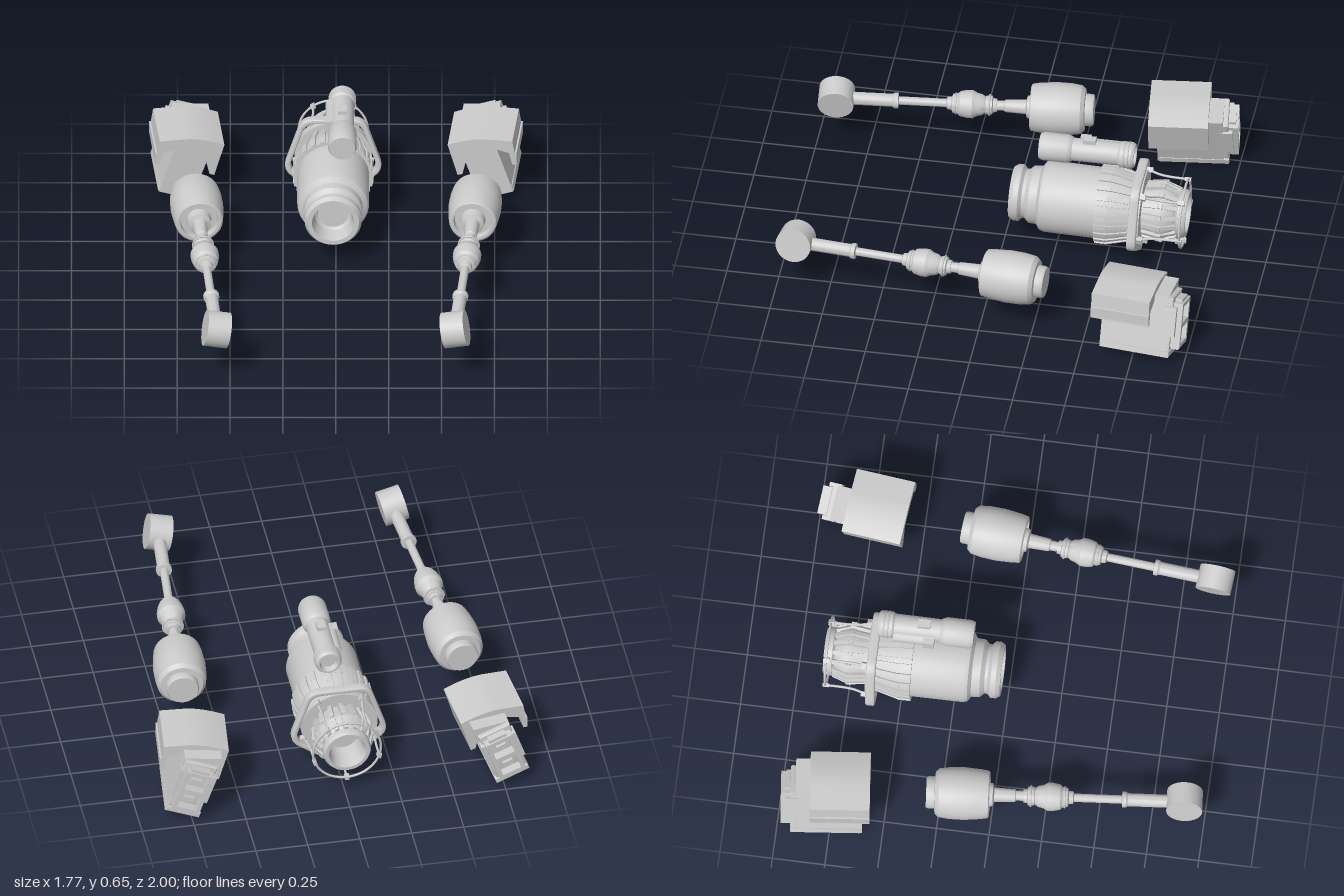
import * as THREE from 'three';
import { toCreasedNormals } from 'three/addons/utils/BufferGeometryUtils.js';

const mat = new THREE.MeshStandardMaterial({ color: 0xcccccc, side: THREE.DoubleSide });

function add(parent, name, geo, x = 0, y = 0, z = 0) {
  const m = new THREE.Mesh(geo, mat);
  m.name = name;
  m.position.set(x, y, z);
  parent.add(m);
  return m;
}

function group(parent, name, x = 0, y = 0, z = 0) {
  const g = new THREE.Group();
  g.name = name;
  g.position.set(x, y, z);
  parent.add(g);
  return g;
}

// Turned part along z; profile points are [radius, z], z rising on the outside
function turned(profile, sides = 40) {
  const g = new THREE.LatheGeometry(profile.map(([r, z]) => new THREE.Vector2(r, z)), sides);
  return toCreasedNormals(g.rotateX(Math.PI / 2), 0.5);
}

// Outline in x/y pushed from z0 to z1
function slab(shape, z0, z1, bevel = 0) {
  const g = new THREE.ExtrudeGeometry(shape, {
    depth: z1 - z0 - 2 * bevel, bevelEnabled: bevel > 0, bevelThickness: bevel,
    bevelSize: bevel, bevelOffset: -bevel, bevelSegments: 3, curveSegments: 8,
  });
  return toCreasedNormals(g.translate(0, 0, z0 + bevel), 0.5);
}

const polygon = (pts) => new THREE.Shape(pts.map(([x, y]) => new THREE.Vector2(x, y)));

function rect(x, y, w, h) {
  return [[x - w / 2, y - h / 2], [x + w / 2, y - h / 2], [x + w / 2, y + h / 2], [x - w / 2, y + h / 2]];
}

// Pentagon with one corner down and rounded corners
function pentagon(radius, round) {
  const c = [...Array(5)].map((_, i) => {
    const a = -Math.PI / 2 + i * Math.PI * 0.4;
    return new THREE.Vector2(Math.cos(a) * radius, Math.sin(a) * radius);
  });
  const s = new THREE.Shape();
  c.forEach((p, i) => {
    const toward = (q) => p.clone().add(q.clone().sub(p).setLength(round));
    const a = toward(c[(i + 4) % 5]), b = toward(c[(i + 1) % 5]);
    if (i === 0) s.moveTo(a.x, a.y); else s.lineTo(a.x, a.y);
    s.quadraticCurveTo(p.x, p.y, b.x, b.y);
  });
  s.closePath();
  return s;
}

// Repeat boxes around the z axis, each leaning along the cone r0 (z0) to r1 (z1)
function ribs(parent, name, count, r0, z0, r1, z1, width, height) {
  const len = Math.hypot(z1 - z0, r1 - r0);
  for (let i = 0; i < count; i++) {
    const spoke = group(parent, name);
    spoke.rotation.z = -Math.PI / 2 + (i / count) * Math.PI * 2;
    const b = add(spoke, name, new THREE.BoxGeometry(height, width, len), (r0 + r1) / 2, 0, (z0 + z1) / 2);
    b.rotation.y = Math.atan2(r1 - r0, z1 - z0);
  }
}

function makePod(root) {
  const pod = group(root, 'centralPod', -0.013, 0.257, 0);
  pod.rotation.x = 0.026 * -1;
  add(pod, 'podBody', turned([
    [0, -0.5], [0.17, -0.5], [0.17, -0.2], [0.163, -0.18], [0.14, -0.165], [0.137, -0.125], [0.118, -0.105],
    [0.118, -0.09], [0.135, -0.075], [0.135, -0.05], [0.122, -0.03], [0.1, -0.03], [0.092, -0.06],
    [0.085, -0.1], [0.072, -0.11], [0, -0.11],
  ], 48));
  // ribbed skirt
  add(pod, 'skirt', turned([[0.13, -0.63], [0.15, -0.63], [0.172, -0.56], [0.186, -0.5], [0.186, -0.45], [0.168, -0.45]], 48));
  ribs(pod, 'skirtRib', 24, 0.187, -0.45, 0.187, -0.51, 0.024, 0.012);
  ribs(pod, 'skirtRib', 24, 0.187, -0.5, 0.153, -0.63, 0.02, 0.014);
  // pentagonal flange with gaps at its corners
  const frame = pentagon(0.252, 0.055);
  frame.holes.push(pentagon(0.222, 0.05));
  add(pod, 'flange', slab(frame, -0.66, -0.615, 0.009));
  add(pod, 'flangeDisc', turned([[0.08, -0.665], [0.183, -0.665], [0.183, -0.62], [0.1, -0.62]], 48));
  // hollow tail
  add(pod, 'tail', turned([
    [0, -0.74], [0.075, -0.74], [0.08, -0.84], [0.09, -0.875], [0.107, -0.875], [0.115, -0.86], [0.115, -0.835],
    [0.1, -0.825], [0.115, -0.81], [0.135, -0.765], [0.135, -0.74], [0.118, -0.7], [0.115, -0.66],
  ]));
  ribs(pod, 'tailRib', 16, 0.142, -0.74, 0.112, -0.83, 0.02, 0.016);
  ribs(pod, 'tailRib', 16, 0.142, -0.765, 0.128, -0.67, 0.02, 0.016);
  // wire guard
  add(pod, 'guardRing', new THREE.TorusGeometry(0.163, 0.006, 8, 50), 0, 0, -0.858);
  const path = new THREE.CatmullRomCurve3([[0.163, -0.858], [0.163, -0.78], [0.168, -0.72], [0.188, -0.65]]
    .map(([r, z]) => new THREE.Vector3(r, 0, z)));
  for (let i = 0; i < 5; i++) {
    const arm = group(pod, 'guardArm');
    arm.rotation.z = -Math.PI / 2 + i * Math.PI * 0.4;
    add(arm, 'guardWire', new THREE.TubeGeometry(path, 12, 0.006, 8));
    add(arm, 'guardClip', new THREE.BoxGeometry(0.018, 0.022, 0.03), 0.163, 0, -0.855);
    add(arm, 'guardFoot', new THREE.BoxGeometry(0.024, 0.03, 0.03), 0.185, 0, -0.67);
  }
}

function makeCanister(root) {
  const can = group(root, 'upperCanister', 0.03, 0.583, 0);
  add(can, 'canisterBody', turned([
    [0, -0.6], [0.038, -0.6], [0.045, -0.628], [0.055, -0.628], [0.063, -0.615], [0.063, -0.56], [0.055, -0.55],
    [0.055, -0.33], [0.06, -0.325], [0.068, -0.305], [0.068, -0.19], [0.061, -0.172], [0, -0.172],
  ], 32));
  for (const z of [-0.58, -0.6]) add(can, 'canisterBand', new THREE.TorusGeometry(0.062, 0.004, 6, 32), 0, 0, z);
  add(can, 'topKey', new THREE.BoxGeometry(0.04, 0.03, 0.06), 0, 0.058, -0.41);
  const lever = add(can, 'sideLever', new THREE.CylinderGeometry(0.032, 0.032, 0.19, 16), -0.048, 0, -0.455);
  lever.rotation.x = Math.PI / 2;
  add(can, 'leverFoot', new THREE.BoxGeometry(0.035, 0.06, 0.05), -0.068, 0, -0.38);
}

function makeArm(side) {
  // rod, joint and drum share one slightly toed-in axis
  const arm = group(side, 'armAssembly', 0.645, 0.274, 0);
  arm.rotation.y = -0.09;
  add(arm, 'drum', turned([
    [0, -0.31], [0.072, -0.31], [0.077, -0.3], [0.077, -0.27], [0.1, -0.268], [0.116, -0.25], [0.123, -0.2],
    [0.125, -0.13], [0.118, -0.05], [0.112, -0.015], [0.103, -0.01], [0.09, -0.01], [0.086, -0.035], [0, -0.035],
  ], 40));
  add(arm, 'drumNeck', turned([
    [0, -0.04], [0.06, -0.04], [0.055, 0.005], [0.035, 0.012], [0.03, 0.11], [0.024, 0.115], [0.024, 0.16],
  ], 24));
  add(arm, 'joint', turned([
    [0.02, 0.15], [0.032, 0.15], [0.034, 0.168], [0.045, 0.172], [0.045, 0.2], [0.04, 0.205], [0.05, 0.22],
    [0.056, 0.245], [0.067, 0.265], [0.067, 0.29], [0.06, 0.325], [0.05, 0.335], [0.045, 0.36],
    [0.032, 0.365], [0.03, 0.385], [0.02, 0.39],
  ], 32));
  for (const z of [0.185, 0.235, 0.345]) add(arm, 'jointBand', new THREE.TorusGeometry(0.048, 0.005, 6, 32), 0, 0, z);
  add(arm, 'rod', turned([
    [0.02, 0.37], [0.02, 0.615], [0.038, 0.618], [0.038, 0.635], [0.031, 0.645], [0.031, 0.87],
  ], 20));
  const pad = add(arm, 'endPad', toCreasedNormals(new THREE.CylinderGeometry(0.085, 0.085, 0.112, 32), 0.5), 0, 0.004, 0.912);
  pad.rotation.z = -Math.PI / 2 + 0.2;
}

function makeBlock(side) {
  const block = group(side, 'rearBlock', 0.705, 0, -0.715);
  block.rotation.y = -0.11;
  add(block, 'housing', slab(polygon([[-0.01, 0.005], [0.145, 0.058], [0.05, 0.345], [-0.125, 0.33]]), -0.21, 0.105));
  add(block, 'basePlate', slab(polygon([[-0.014, 0.004], [0.148, 0.06], [0.139, 0.088], [-0.023, 0.032]]), -0.235, 0.1, 0.006));
  // curved hood: inner wall, arched top and flared outer flap
  const hood = new THREE.Shape();
  hood.moveTo(-0.115, 0.158);
  hood.lineTo(-0.163, 0.325);
  hood.quadraticCurveTo(-0.05, 0.372, 0.03, 0.37);
  hood.lineTo(0.145, 0.366);
  hood.lineTo(0.165, 0.238);
  hood.lineTo(0.145, 0.236);
  hood.lineTo(0.13, 0.3);
  hood.lineTo(0.062, 0.318);
  hood.lineTo(-0.06, 0.31);
  hood.lineTo(-0.092, 0.165);
  add(block, 'hood', slab(hood, -0.142, 0.142));
  add(block, 'flapRail', new THREE.BoxGeometry(0.014, 0.06, 0.284), 0.157, 0.266, 0);
  // rear connector with two open sockets, leaning with the housing
  const plug = group(block, 'rearConnector', 0.018, 0.187, 0);
  plug.rotation.z = 0.33;
  add(plug, 'collar', slab(polygon(rect(0, 0.005, 0.16, 0.27)), -0.235, -0.2, 0.008));
  const face = polygon(rect(0, 0, 0.135, 0.225));
  for (const y of [-0.053, 0.053]) {
    face.holes.push(polygon(rect(0, y, 0.095, 0.08)));
    add(plug, 'socketPin', new THREE.BoxGeometry(0.05, 0.025, 0.03), 0, y, -0.248);
  }
  add(plug, 'socketFrame', slab(face, -0.28, -0.23));
  for (const s of [-1, 1]) {
    add(plug, 'sideLug', new THREE.BoxGeometry(0.02, 0.15, 0.06), s * 0.08, 0.02, -0.225);
    add(plug, 'endLug', new THREE.BoxGeometry(0.09, 0.018, 0.05), 0, s * 0.118, -0.245);
  }
}

export function createModel() {
  const root = new THREE.Group();
  root.name = 'model';
  makePod(root);
  makeCanister(root);
  for (const s of [1, -1]) {
    const side = group(root, s > 0 ? 'leftSide' : 'rightSide');
    side.scale.x = s;
    makeArm(side);
    makeBlock(side);
  }
  return root;
}
